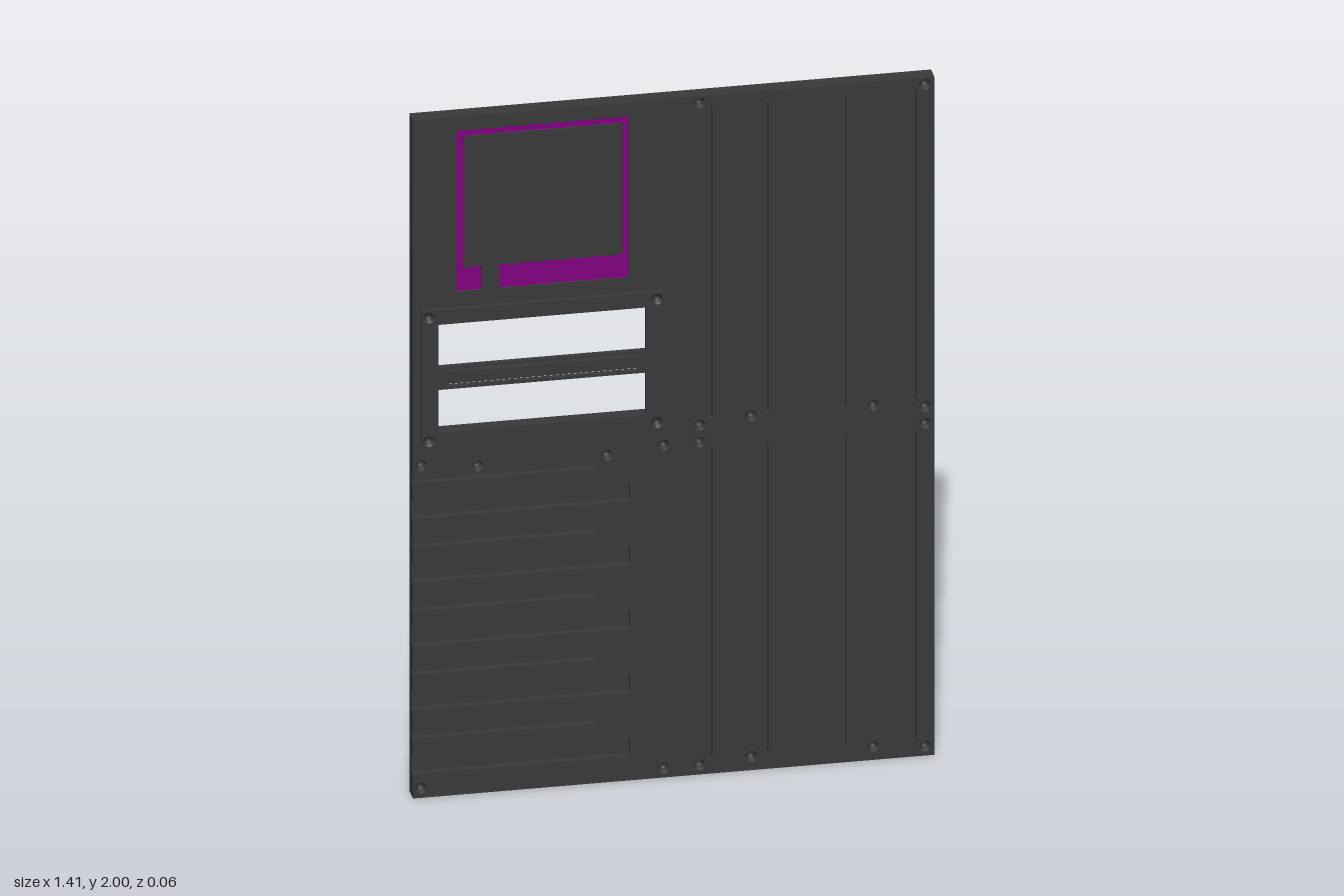
import * as THREE from 'three';

const HALF_W = 0.705, HEIGHT = 2;
const BACK = -0.03, FLOOR = -0.005, FRONT = 0.015, BEZEL_FRONT = 0.03;

const dark = new THREE.MeshStandardMaterial({ color: 0x393939, side: THREE.DoubleSide });
const purple = new THREE.MeshStandardMaterial({ color: 0x800080 });

const poly = (points, Type = THREE.Shape) => new Type(points.map(([x, y]) => new THREE.Vector2(x, y)));
const rect = (x0, y0, x1, y1, Type = THREE.Path) => poly([[x0, y0], [x1, y0], [x1, y1], [x0, y1]], Type);
const circle = (x, y, r) => new THREE.Path().absarc(x, y, r, 0, Math.PI * 2);

// Vertical slot with rounded ends
function slot(x, y0, y1, r) {
  const p = new THREE.Path();
  p.absarc(x, y1 - r, r, 0, Math.PI);
  p.absarc(x, y0 + r, r, Math.PI, Math.PI * 2);
  p.closePath();
  return p;
}

function slab(name, shape, z0, z1, material = dark) {
  const geometry = new THREE.ExtrudeGeometry(shape, { depth: z1 - z0, bevelEnabled: false, curveSegments: 10 });
  geometry.translate(0, 0, z0);
  const mesh = new THREE.Mesh(geometry, material);
  mesh.name = name;
  return mesh;
}

// Conical screw seat
function countersink(x, y, top, bottom) {
  const geometry = new THREE.LatheGeometry([
    new THREE.Vector2(0, bottom), new THREE.Vector2(0.008, bottom),
    new THREE.Vector2(0.008, bottom + 0.004), new THREE.Vector2(0.016, top),
  ], 20);
  geometry.rotateX(Math.PI / 2);
  const mesh = new THREE.Mesh(geometry, dark);
  mesh.position.set(x, y, 0);
  mesh.name = 'screwSeat';
  return mesh;
}

// Panel outline with vent grooves running in from the left-hand edge of the face
function frontOutline() {
  const s = new THREE.Shape();
  s.moveTo(-HALF_W, 0);
  s.lineTo(HALF_W, 0);
  s.lineTo(HALF_W, HEIGHT);
  s.lineTo(-HALF_W, HEIGHT);
  for (let i = 0; i < 5; i++) {
    const narrow = 0.935 - i * 0.188, wide = 0.85 - i * 0.188, r = 0.007;
    s.lineTo(-HALF_W, narrow + r);
    s.lineTo(-0.205 - r, narrow + r);
    s.absarc(-0.205 - r, narrow, r, Math.PI / 2, -Math.PI / 2, true);
    s.lineTo(-HALF_W, narrow - r);
    s.lineTo(-HALF_W, wide + 0.026);
    s.lineTo(-0.118, wide + 0.026);
    s.lineTo(-0.118, wide - 0.026);
    s.lineTo(-HALF_W, wide - 0.026);
  }
  s.closePath();
  return s;
}

export function createModel() {
  const group = new THREE.Group();
  group.name = 'controlPanel';

  // Rectangular window through the panel, behind the bezel
  const panelWindow = () => rect(-0.648, 1.07, -0.067, 1.408);

  // Split frame channel around the square pad
  const channel = [
    [-0.52, 1.483], [-0.52, 1.555], [-0.569, 1.555], [-0.569, 1.939], [-0.14, 1.939], [-0.14, 1.555],
    [-0.474, 1.555], [-0.474, 1.483], [-0.122, 1.483], [-0.122, 1.96], [-0.588, 1.96], [-0.588, 1.483],
  ];

  const screws = [
    [0.07, 1.98], [0.68, 1.98], [0.07, 1.03], [0.68, 1.03], [0.21, 1.045], [0.54, 1.045],
    [-0.683, 0.98], [-0.027, 0.98], [-0.53, 0.965], [-0.18, 0.965], [0.07, 0.98], [0.68, 0.98],
    [-0.683, 0.028], [-0.027, 0.028], [0.07, 0.028], [0.68, 0.028], [0.21, 0.04], [0.54, 0.04],
  ];

  // Back plate
  const back = rect(-HALF_W, 0, HALF_W, HEIGHT, THREE.Shape);
  back.holes.push(panelWindow());
  group.add(slab('backPlate', back, BACK, FLOOR));

  // Front plate with grooves, channel and screw holes
  const front = frontOutline();
  front.holes.push(panelWindow(), poly(channel, THREE.Path));
  for (const x of [0.098, 0.25, 0.46, 0.65]) {
    front.holes.push(slot(x, 1.045, 1.97, 0.007), slot(x, 0.043, 0.965, 0.007));
  }
  for (const [x, y] of screws) {
    front.holes.push(circle(x, y, 0.016));
    group.add(countersink(x, y, FRONT, FLOOR + 0.001));
  }
  group.add(slab('frontPlate', front, FLOOR, FRONT));

  // Coloured floor of the channel
  group.add(slab('colouredFrame', poly(channel), FLOOR, 0.005, purple));

  // Raised bezel with two openings and a slit on each side of the middle bar
  const bezel = rect(-0.683, 1.038, -0.029, 1.44, THREE.Shape);
  bezel.holes.push(
    rect(-0.638, 1.272, -0.077, 1.398), rect(-0.638, 1.08, -0.077, 1.206),
    rect(-0.617, 1.255, -0.092, 1.264), rect(-0.617, 1.214, -0.092, 1.222),
  );
  for (const x of [-0.665, -0.048]) {
    for (const y of [1.056, 1.42]) {
      bezel.holes.push(circle(x, y, 0.016));
      group.add(countersink(x, y, BEZEL_FRONT, FRONT + 0.001));
    }
  }
  group.add(slab('windowBezel', bezel, FRONT, BEZEL_FRONT));

  // Middle bar continuing behind the bezel
  group.add(slab('middleBar', rect(-0.648, 1.2225, -0.067, 1.2545, THREE.Shape), -0.01, FRONT));
  return group;
}
